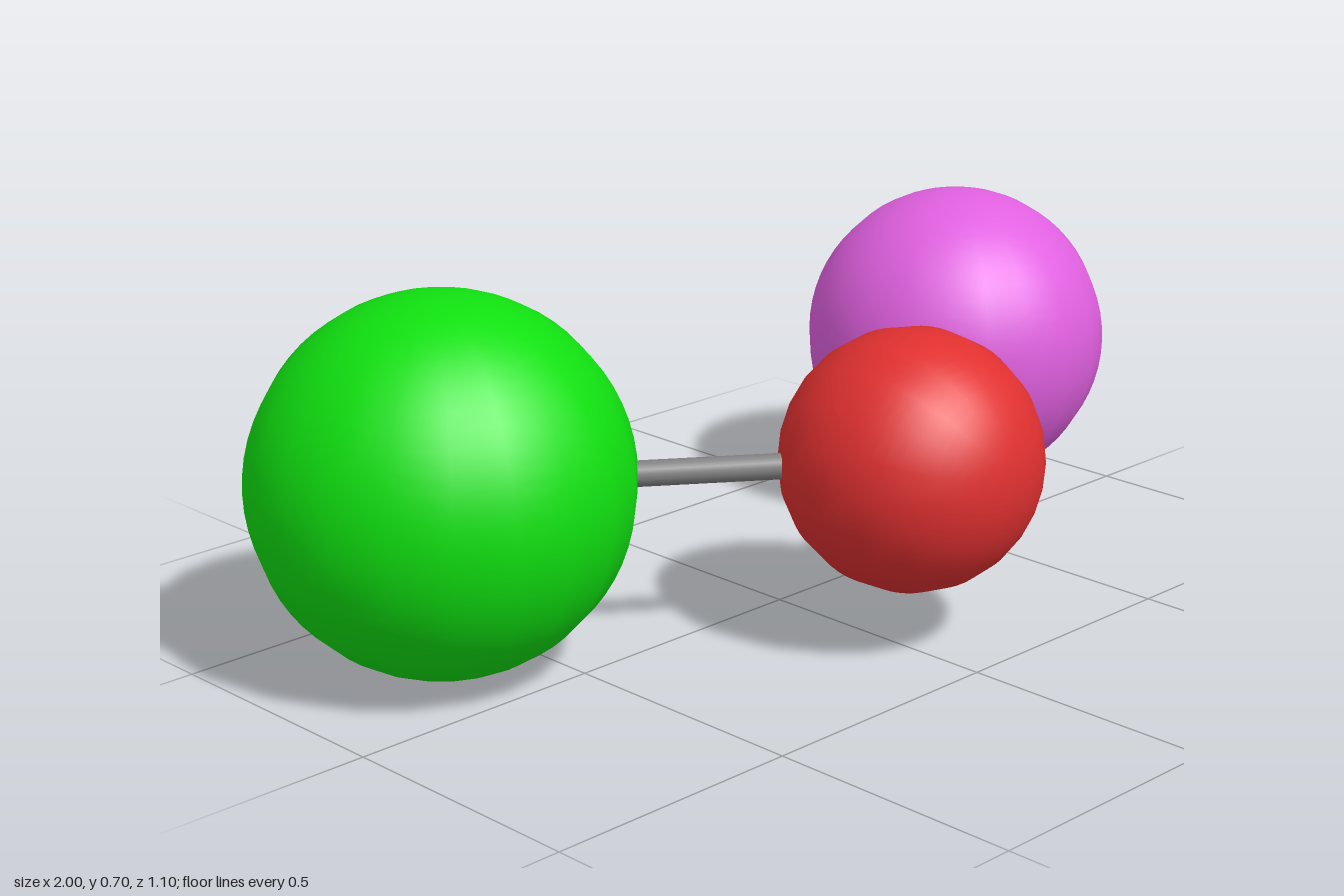
import * as THREE from 'three';

const Y = 0.352;

export function createModel() {
  const model = new THREE.Group();

  // Atoms: faceted around one axis, smooth shaded
  const addAtom = (name, color, radius, x, z) => {
    const atom = new THREE.Mesh(
      new THREE.SphereGeometry(radius, 20, 32),
      new THREE.MeshStandardMaterial({ color })
    );
    atom.name = name;
    atom.position.set(x, Y, z);
    model.add(atom);
    return atom;
  };
  const centre = addAtom('centreAtom', 0xe03030, 0.244, 0.035, 0.302);
  centre.rotation.x = Math.PI / 2;
  const large = addAtom('largeAtom', 0x10e010, 0.35, -0.65, -0.2);
  const medium = addAtom('mediumAtom', 0xe060e0, 0.305, 0.69, -0.17);

  // Bonds: thin rods from the centre atom to each outer atom
  const addBond = (name, from, to) => {
    const dir = to.clone().sub(from);
    const bond = new THREE.Mesh(
      new THREE.CylinderGeometry(0.024, 0.024, dir.length(), 16),
      new THREE.MeshStandardMaterial({ color: 0x808080 })
    );
    bond.name = name;
    bond.position.copy(from).addScaledVector(dir, 0.5);
    bond.quaternion.setFromUnitVectors(new THREE.Vector3(0, 1, 0), dir.normalize());
    model.add(bond);
  };
  addBond('rightBond', centre.position, large.position);
  addBond('leftBond', centre.position, medium.position);

  return model;
}
